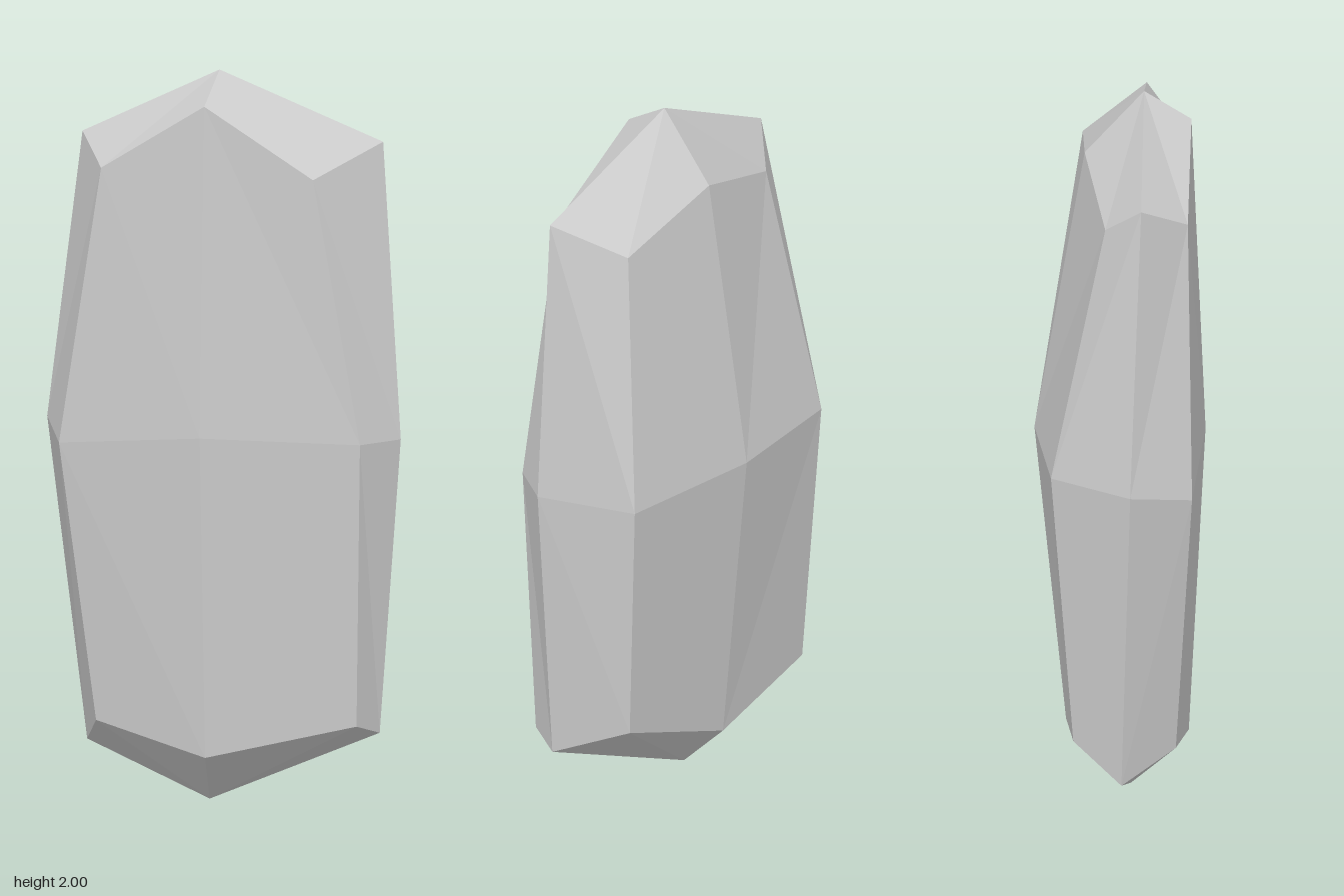
import * as THREE from 'three';

// Faceted stone slab: three eight-sided rings closed by an apex at each end.
// Ring order: front left-to-right, right edge, back right-to-left, left edge.
const bottomRing = [
  [-0.33, 0.22, 0.155], [-0.01, 0.14, 0.185], [0.41, 0.245, 0.155], [0.445, 0.215, 0.065],
  [0.38, 0.325, -0.155], [-0.01, 0.17, -0.145], [-0.36, 0.25, -0.12], [-0.405, 0.14, 0.01],
];
const middleRing = [
  [-0.42, 0.98, 0.2], [-0.01, 1.02, 0.23], [0.43, 1.02, 0.185], [0.505, 1.02, 0.065],
  [0.405, 1.02, -0.195], [-0.01, 1.02, -0.23], [-0.37, 1.02, -0.18], [-0.51, 1.02, 0.035],
];
const topRing = [
  [-0.305, 1.735, 0.187], [-0.01, 1.92, 0.192], [0.295, 1.735, 0.18], [0.455, 1.83, 0.065],
  [0.33, 1.74, -0.105], [-0.01, 1.82, -0.095], [-0.31, 1.72, -0.035], [-0.4, 1.81, 0.063],
];
const bottomApex = [-0.05, 0, 0.03];
const topApex = [-0.01, 2, 0.065];

function slabGeometry() {
  const positions = [];
  const triangle = (...corners) => positions.push(...corners.flat());

  // Walls between two rings, split so the facets bulge outward on both sides
  const wall = (lower, upper) => {
    for (let i = 0; i < 8; i++) {
      const j = (i + 1) % 8;
      const [a, b, c, d] = [lower[i], lower[j], upper[j], upper[i]];
      if (i < 5) {
        triangle(a, b, d);
        triangle(b, c, d);
      } else {
        triangle(a, b, c);
        triangle(a, c, d);
      }
    }
  };
  wall(bottomRing, middleRing);
  wall(middleRing, topRing);

  // Pointed ends
  for (let i = 0; i < 8; i++) {
    const j = (i + 1) % 8;
    triangle(topApex, topRing[i], topRing[j]);
    triangle(bottomApex, bottomRing[j], bottomRing[i]);
  }

  const geometry = new THREE.BufferGeometry();
  geometry.setAttribute('position', new THREE.Float32BufferAttribute(positions, 3));
  geometry.computeVertexNormals();
  return geometry;
}

export function createModel() {
  const group = new THREE.Group();
  group.name = 'standingStone';
  const stone = new THREE.Mesh(
    slabGeometry(),
    new THREE.MeshStandardMaterial({ color: 0xcccccc, flatShading: true }),
  );
  stone.name = 'stoneSlab';
  group.add(stone);
  return group;
}
